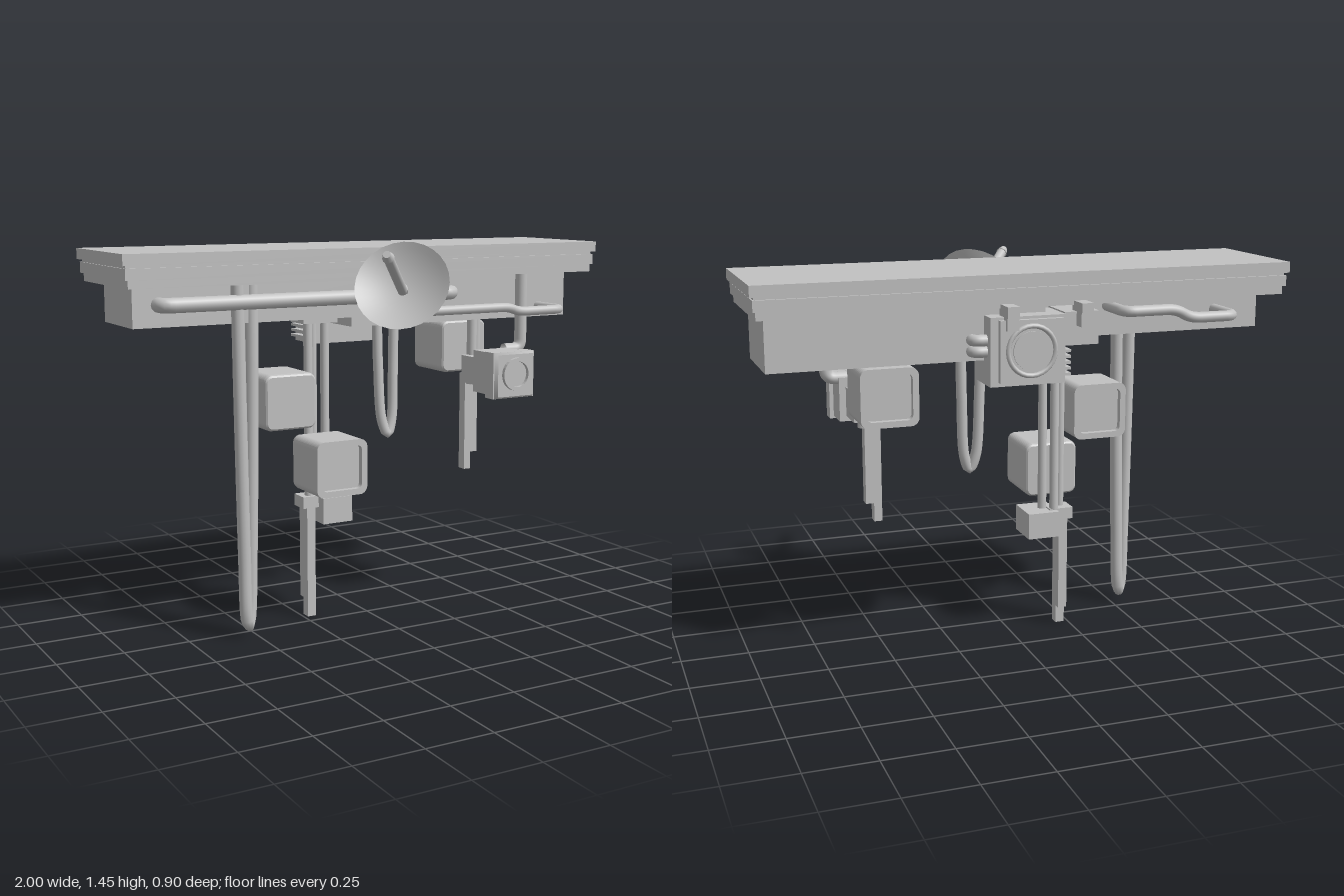
import * as THREE from 'three';

const gray = new THREE.MeshStandardMaterial({ color: 0xc2c2c2, side: THREE.DoubleSide });
gray.name = 'lightGray';

export function createModel() {
  const root = new THREE.Group();
  root.name = 'ledgeWithHangingEquipment';

  const add = (name, geo, parent = root) => {
    const m = new THREE.Mesh(geo, gray);
    m.name = name;
    parent.add(m);
    return m;
  };
  // Box from its min and max extents
  const box = (name, x0, x1, y0, y1, z0, z1) => {
    const m = add(name, new THREE.BoxGeometry(x1 - x0, y1 - y0, z1 - z0));
    m.position.set((x0 + x1) / 2, (y0 + y1) / 2, (z0 + z1) / 2);
  };
  const vec = (p) => new THREE.Vector3(...p);
  // Straight round bar between two points
  const rod = (name, a, b, r, r2 = r) => {
    const A = vec(a), d = vec(b).sub(A);
    const m = add(name, new THREE.CylinderGeometry(r2, r, d.length(), 12));
    m.position.copy(A).addScaledVector(d, 0.5);
    m.quaternion.setFromUnitVectors(new THREE.Vector3(0, 1, 0), d.normalize());
  };
  // Pipe with rounded bends at its inner points
  const pipe = (name, pts, r, bend = 0.04) => {
    const p = pts.map(vec), path = new THREE.CurvePath();
    let from = p[0];
    for (let i = 1; i < p.length - 1; i++) {
      const near = (q) => p[i].clone().add(q.clone().sub(p[i]).setLength(Math.min(bend, q.distanceTo(p[i]) * 0.48)));
      const a = near(p[i - 1]), b = near(p[i + 1]);
      path.add(new THREE.LineCurve3(from, a));
      path.add(new THREE.QuadraticBezierCurve3(a, p[i], b));
      from = b;
    }
    path.add(new THREE.LineCurve3(from, p[p.length - 1]));
    add(name, new THREE.TubeGeometry(path, 96, r, 12));
  };
  const hose = (name, pts, r) =>
    add(name, new THREE.TubeGeometry(new THREE.CatmullRomCurve3(pts.map(vec)), 96, r, 12));

  // Stepped ledge
  box('ledgeTop', -1, 1, 1.39, 1.43, -0.39, 0.11);
  box('ledgeGap', -0.985, 0.985, 1.38, 1.39, -0.375, 0.095);
  box('ledgeMiddle', -0.99, 0.99, 1.34, 1.38, -0.385, 0.105);
  box('ledgeLower', -0.98, 0.98, 1.31, 1.34, -0.375, 0.10);
  box('rightSupport', -0.95, 0, 1.17, 1.31, -0.24, 0.05);
  box('leftSupport', -0.05, 0.95, 1.125, 1.31, -0.34, -0.03);

  // Looped hoses
  hose('longHose', [[-0.567, 1.32, 0.075], [-0.563, 0.9, 0.073], [-0.553, 0.3, 0.068], [-0.548, 0.09, 0.066],
    [-0.537, 0.045, 0.058], [-0.526, 0.09, 0.05], [-0.517, 0.3, 0.047], [-0.5, 0.9, 0.04], [-0.493, 1.32, 0.033]], 0.024);
  hose('shortHose', [[0.132, 1.14, -0.155], [0.136, 0.95, -0.152], [0.148, 0.73, -0.142], [0.17, 0.678, -0.135],
    [0.192, 0.73, -0.142], [0.204, 0.95, -0.152], [0.208, 1.14, -0.155]], 0.02);

  // Pipes along the ledge
  pipe('frontPipe', [[-0.855, 1.249, 0.02], [-0.855, 1.249, 0.092], [0.335, 1.249, 0.092], [0.335, 1.249, -0.04]], 0.027);
  pipe('frontThinPipe', [[0, 1.186, -0.04], [0, 1.186, 0.135], [0.56, 1.186, 0.135], [0.605, 1.167, 0.135],
    [0.818, 1.167, 0.135], [0.818, 1.167, -0.04]], 0.018);
  pipe('backPipe', [[-0.33, 1.28, -0.23], [-0.33, 1.28, -0.405], [-0.53, 1.28, -0.405], [-0.59, 1.245, -0.405],
    [-0.77, 1.245, -0.405], [-0.77, 1.245, -0.23]], 0.02);
  pipe('cameraConduit', [[0.66, 1.32, 0.075], [0.66, 1.012, 0.075], [0.58, 1.012, 0.075]], 0.024);

  // Hanging poles, junction boxes and stepped bars
  for (const [x, z] of [[-0.217, -0.07], [-0.181, -0.105], [-0.146, -0.07]])
    rod('hangingPole', [x, 0.45, z], [x, 1.18, z], 0.017);
  for (const [x, z] of [[0.525, -0.07], [0.565, -0.105]])
    rod('shortPole', [x, 0.86, z], [x, 1.14, z], 0.02);
  box('poleFlange', -0.255, -0.11, 1.145, 1.17, -0.14, -0.03);
  box('poleClamp', -0.255, -0.16, 0.435, 0.48, -0.12, -0.04);
  box('junctionBox', -0.19, -0.065, 0.375, 0.475, -0.145, 0);
  box('longBar', -0.235, -0.2, 0, 0.44, -0.09, -0.05);
  box('longBarStep', -0.235, -0.2, 0.07, 0.44, -0.115, -0.09);
  box('shortBar', 0.505, 0.535, 0.505, 0.9, -0.125, -0.085);
  box('shortBarStep', 0.535, 0.565, 0.575, 0.9, -0.125, -0.085);

  // Rounded square outline, centred
  const outline = (w, r, Kind = THREE.Shape) => {
    const s = new Kind(), h = w / 2;
    for (const [cx, cy, a] of [[h - r, h - r, 0], [r - h, h - r, 1], [r - h, r - h, 2], [h - r, r - h, 3]])
      s.absarc(cx, cy, r, a * Math.PI / 2, (a + 1) * Math.PI / 2, false);
    return s;
  };
  // Screen: recessed front face, softly rounded rear
  const screen = (name, x, y, z, facing) => {
    const g = new THREE.Group();
    g.name = name;
    const body = add('casing', new THREE.ExtrudeGeometry(outline(0.21, 0.03), {
      depth: 0.151, bevelThickness: 0.018, bevelSize: 0.009, bevelOffset: -0.009, bevelSegments: 2, curveSegments: 5 }), g);
    body.position.z = -0.087;
    const ring = outline(0.21, 0.03);
    ring.holes.push(outline(0.165, 0.02, THREE.Path));
    const frame = add('frame', new THREE.ExtrudeGeometry(ring, { depth: 0.045, bevelEnabled: false, curveSegments: 5 }), g);
    frame.position.z = 0.06;
    g.position.set(x, y, z);
    if (facing < 0) g.rotation.y = Math.PI;
    root.add(g);
  };
  screen('frontScreen', -0.19, 0.622, 0.05, 1);
  screen('backScreenRight', -0.34, 0.866, -0.068, -1);
  screen('backScreenLeft', 0.52, 1.01, -0.225, -1);

  // Camera
  box('cameraRear', 0.48, 0.59, 0.87, 0.98, -0.075, 0.05);
  box('cameraBody', 0.455, 0.615, 0.85, 1.015, 0.05, 0.16);
  box('cameraHood', 0.44, 0.63, 0.84, 1.02, 0.155, 0.21);
  const hood = add('cameraHoodFront', new THREE.CylinderGeometry(0.116, 0.127, 0.015, 4).rotateY(Math.PI / 4).rotateX(Math.PI / 2));
  hood.position.set(0.535, 0.93, 0.2175);
  const lensShape = new THREE.Shape().absarc(0, 0, 0.064, 0, Math.PI * 2);
  lensShape.holes.push(new THREE.Path().absarc(0, 0, 0.05, 0, Math.PI * 2));
  const lens = add('lensRing', new THREE.ExtrudeGeometry(lensShape, { depth: 0.03, bevelEnabled: false, curveSegments: 14 }));
  lens.position.set(0.535, 0.935, 0.21);

  // Dish with feed rod and wall arms
  const axis = new THREE.Vector3(-0.59, 0.5, 0.63).normalize();
  const profile = [];
  for (let i = 0; i <= 8; i++) profile.push(new THREE.Vector2(0.175 * i / 8, 0.05 * (i / 8) ** 2 - 0.05));
  const dish = add('dish', new THREE.LatheGeometry(profile, 28));
  dish.position.set(-0.01, 1.302, 0.275);
  dish.quaternion.setFromUnitVectors(new THREE.Vector3(0, 1, 0), axis);
  rod('feedRod', [0.015, 1.277, 0.24], [-0.155, 1.413, 0.425], 0.019);
  rod('feedTip', [-0.152, 1.41, 0.422], [-0.168, 1.423, 0.439], 0.022, 0.014);
  rod('dishArmUpper', [0.01, 1.275, 0.25], [0.14, 1.355, 0.07], 0.018);
  rod('dishArmLower', [0.02, 1.25, 0.24], [0.11, 1.315, 0.08], 0.016);

  // Rear fan unit
  box('fanUnit', -0.1, 0.18, 1.04, 1.285, -0.41, -0.25);
  box('fanPanel', -0.085, 0.15, 1.055, 1.275, -0.43, -0.41);
  const fanRing = add('fanRing', new THREE.TorusGeometry(0.088, 0.009, 6, 28));
  fanRing.position.set(0.033, 1.165, -0.43);
  const disc = add('fanDisc', new THREE.CylinderGeometry(0.07, 0.07, 0.008, 24).rotateX(Math.PI / 2));
  disc.position.set(0.033, 1.165, -0.431);
  box('ventBox', -0.23, -0.1, 1.17, 1.29, -0.40, -0.24);
  for (let i = 0; i < 5; i++)
    box('ventFin', -0.13, -0.1, 1.06 + i * 0.021, 1.07 + i * 0.021, -0.39, -0.26);
  for (const x of [-0.167, 0.108]) {
    box('hangerBracket', x - 0.022, x + 0.022, 1.285, 1.325, -0.45, -0.36);
    box('hangerTab', x - 0.022, x + 0.022, 1.24, 1.29, -0.445, -0.4);
  }
  for (const y of [1.2, 1.16])
    pipe('unitElbow', [[0.17, y, -0.365], [0.225, y, -0.365], [0.225, y, -0.32]], 0.021);

  return root;
}
